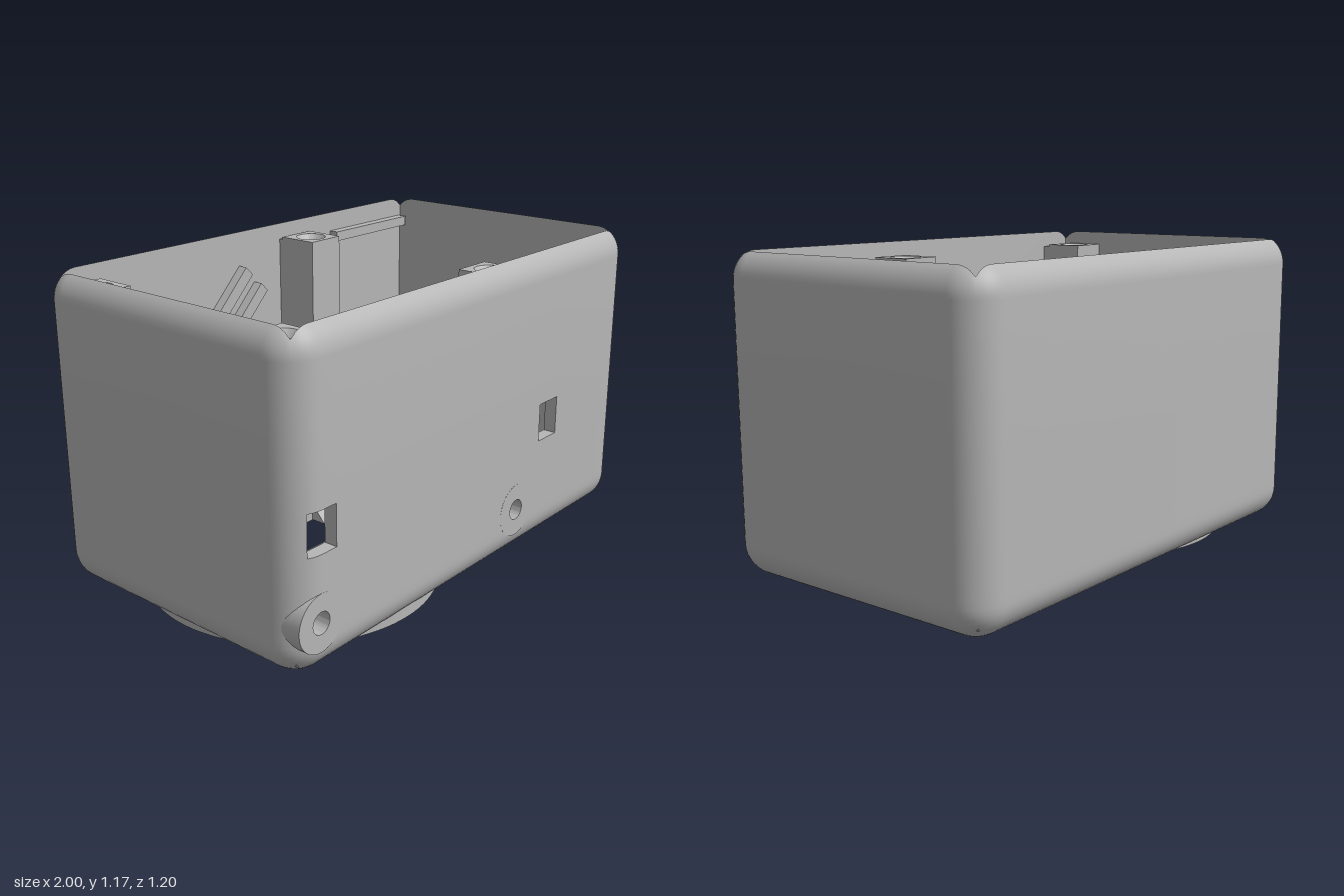
import * as THREE from 'three';
import { toCreasedNormals } from 'three/addons/utils/BufferGeometryUtils.js';

const R = 0.125;                 // outer edge radius
const CX = 0.875, CZ = 0.475;    // core rectangle of the rounded box
const IN = 0.075;                // core to inner wall
const FLOOR = 0.05, SHOULDER = 1.075;
const DISC_X = -0.4, DISC_Z = 0.02, DISC_R = 0.55, DISC_H = 0.22;
const LEVELS = [0.155, 0.245, 0.44, 0.59];

const gray = new THREE.MeshStandardMaterial({ color: 0xb6b6b6, side: THREE.DoubleSide });
gray.name = 'grayPlastic';

function add(parent, name, geometry, x = 0, y = 0, z = 0) {
  const mesh = new THREE.Mesh(geometry, gray);
  mesh.name = name;
  mesh.position.set(x, y, z);
  parent.add(mesh);
  return mesh;
}

function fromTriangles(positions) {
  const g = new THREE.BufferGeometry();
  g.setAttribute('position', new THREE.Float32BufferAttribute(positions, 3));
  return toCreasedNormals(g, 0.5);
}

const quad = (out, a, b, c, d) => out.push(...a, ...b, ...c, ...a, ...c, ...d);

// Rounded walls: outer skin, rim and inner skin as one grid of columns and rows
function wallGeometry() {
  const cols = [];
  [[1, 1], [1, -1], [-1, -1], [-1, 1]].forEach(([sx, sz], corner) => {
    for (let k = 0; k <= 10; k++) {
      cols.push({ x: sx * CX, z: sz * CZ, a: THREE.MathUtils.degToRad(corner * 90 + k * 9) });
    }
  });
  for (const x of [-0.81, 0.18, 0.28, 0.37, 0.49]) cols.push({ x, z: CZ, a: Math.PI * 2 });

  const reach = (c) => IN / Math.max(Math.abs(Math.sin(c.a)), Math.abs(Math.cos(c.a)));
  const rows = [];   // each gives [radius, height] for a column
  for (let k = 0; k <= 10; k++) {
    const t = (k / 10) * Math.PI / 2;
    rows.push(() => [R * Math.sin(t), R - R * Math.cos(t)]);
  }
  for (const y of LEVELS) rows.push(() => [R, y]);
  for (let k = 0; k <= 8; k++) {
    rows.push((c) => {
      const t = Math.PI / 2 + (Math.asin(reach(c) / R) - Math.PI / 2) * k / 8;
      return [R * Math.sin(t), SHOULDER + R * Math.cos(t)];
    });
  }
  const innerStart = rows.length;
  for (const y of [...LEVELS].reverse()) rows.push((c) => [reach(c), y]);
  rows.push((c) => [reach(c), FLOOR]);

  const n = cols.length;
  const point = (i, j) => {
    const c = cols[i % n];
    const [r, y] = rows[j](c);
    return [c.x + r * Math.sin(c.a), y, c.z + r * Math.cos(c.a)];
  };
  // Openings in the front wall: x range and y range
  const openings = [[-0.94, -0.8, 0.44, 0.59], [0.37, 0.49, 0.44, 0.59],
    [-0.94, -0.8, 0.155, 0.245], [0.18, 0.28, 0.155, 0.245]];
  const open = (i, j) => {
    const c = cols[i], d = cols[(i + 1) % n];
    if (c.z < 0 || d.z < 0) return false;
    const x = (c.x + R * Math.sin(c.a) + d.x + R * Math.sin(d.a)) / 2;
    const y = (rows[j](c)[1] + rows[j + 1](c)[1]) / 2;
    return openings.some((o) => x > o[0] && x < o[1] && y > o[2] && y < o[3]);
  };
  const out = [];
  const mirrorRow = (j) => innerStart + 14 - j;   // inner row at the same height
  for (let i = 0; i < n; i++) {
    for (let j = 0; j < rows.length - 1; j++) {
      if (!open(i, j)) {
        quad(out, point(i, j), point(i + 1, j), point(i + 1, j + 1), point(i, j + 1));
      } else if (j < innerStart) {
        // Jambs between the two skins
        const jamb = (i0, j0, i1, j1) => quad(out, point(i0, j0), point(i1, j1),
          point(i1, mirrorRow(j1)), point(i0, mirrorRow(j0)));
        if (!open(i, j - 1)) jamb(i, j, i + 1, j);
        if (!open(i, j + 1)) jamb(i, j + 1, i + 1, j + 1);
        if (!open((i + n - 1) % n, j)) jamb(i, j, i, j + 1);
        if (!open((i + 1) % n, j)) jamb(i + 1, j, i + 1, j + 1);
      }
    }
  }
  return fromTriangles(out);
}

// Outline of the floor opening at height y: a straight window plus a slanted slot
function openingAt(y) {
  const back = -0.155 - 0.195 * y / DISC_H, front = back + 0.225;
  const rear = Math.min(back, -0.22);
  const half = [[0.37, 0.25], [0.37, front], [0.43, front], [0.43, back], [0.37, back], [0.37, rear]];
  return [...half.map(([x, z]) => [DISC_X - x, z]),
    ...half.reverse().map(([x, z]) => [DISC_X + x, z])];
}

const openingPath = (y) => new THREE.Path(openingAt(y).map(([x, z]) => new THREE.Vector2(x, -z)));

function rectangle(w, h) {
  return new THREE.Shape([[-w, -h], [w, -h], [w, h], [-w, h]].map((p) => new THREE.Vector2(...p)));
}

function circle(r, x = 0, y = 0) {
  return new THREE.Shape().absarc(x, y, r, 0, Math.PI * 2, false);
}

// Horizontal flat sheet from a shape drawn in x and -z
function sheet(shape, hole, down = false) {
  if (hole) shape.holes.push(hole);
  const g = new THREE.ShapeGeometry(shape, 48).rotateX(-Math.PI / 2);
  if (down) {
    const index = g.index.array;
    for (let i = 0; i < index.length; i += 3) [index[i], index[i + 1]] = [index[i + 1], index[i]];
    g.computeVertexNormals();
  }
  return g;
}

function openingWalls() {
  const out = [];
  const heights = [0, DISC_H / 3, DISC_H];
  for (let k = 0; k < 2; k++) {
    const lo = openingAt(heights[k]), hi = openingAt(heights[k + 1]);
    lo.forEach((p, i) => {
      const m = (i + 1) % lo.length;
      const at = (q, y) => [q[0], y, q[1]];
      quad(out, at(p, heights[k]), at(hi[i], heights[k + 1]),
        at(hi[m], heights[k + 1]), at(lo[m], heights[k]));
    });
  }
  return fromTriangles(out);
}

function addPost(parent, x, z) {
  const post = new THREE.Group();
  post.name = 'screwPost';
  const shape = rectangle(0.0825, 0.0825);
  shape.holes.push(circle(0.06));
  const block = new THREE.ExtrudeGeometry(shape, { depth: 0.25, bevelEnabled: false, curveSegments: 16 });
  add(post, 'postTop', block.rotateX(-Math.PI / 2), 0, 0.87, 0);
  add(post, 'postBase', new THREE.BoxGeometry(0.165, 0.12, 0.165), 0, 0.81, 0);
  const profile = [[0, 0.9], [0.038, 0.9], [0.038, 1.09], [0.06, 1.12]].map((p) => new THREE.Vector2(...p));
  add(post, 'screwHole', toCreasedNormals(new THREE.LatheGeometry(profile, 28), 0.5));
  // Web joining the post to its wall
  add(post, 'postWeb', new THREE.BoxGeometry(0.165, 0.36, 0.04), 0, 0.93, Math.sign(z) * 0.095);
  post.position.set(x, 0, z);
  parent.add(post);
}

export function createModel() {
  const model = new THREE.Group();
  model.name = 'openEnclosure';

  add(model, 'walls', wallGeometry());
  add(model, 'underside', sheet(rectangle(CX, CZ), openingPath(0), true));
  add(model, 'floor', sheet(rectangle(0.95, 0.55), circle(0.5, DISC_X, -DISC_Z)), 0, FLOOR, 0);

  // Round mount in the floor with its window and slanted slot
  const mount = new THREE.Group();
  mount.name = 'roundMount';
  const disc = () => circle(DISC_R, DISC_X, -DISC_Z);
  add(mount, 'mountTop', sheet(disc(), openingPath(DISC_H)), 0, DISC_H, 0);
  add(mount, 'mountBottom', sheet(disc(), openingPath(0), true));
  add(mount, 'mountRim', new THREE.CylinderGeometry(DISC_R, DISC_R, DISC_H, 96, 1, true), DISC_X, DISC_H / 2, DISC_Z);
  add(mount, 'mountOpening', openingWalls());
  model.add(mount);

  for (const x of [-0.867, 0.233]) {
    addPost(model, x, -0.45);
    addPost(model, x, 0.44);
  }

  // Horizontal screw bosses through the front wall
  for (const x of [-0.885, 0.23]) {
    const ring = circle(0.105);
    ring.holes.push(circle(0.04));
    const boss = new THREE.ExtrudeGeometry(ring, { depth: 0.25, bevelEnabled: false, curveSegments: 24 });
    add(model, 'frontBoss', toCreasedNormals(boss, 0.5), x, 0.2, 0.3505);
    add(model, 'bossEnd', new THREE.CircleGeometry(0.05, 24), x, 0.2, 0.352);
  }

  // Slanted guide rails and lid ledges on both long walls
  for (const side of [-1, 1]) {
    for (const [endX, endY, length] of [[-0.067, 1.02, 1.1], [0.015, 0.94, 1.04]]) {
      const half = length * Math.SQRT1_2 / 2;
      const rail = add(model, 'guideRail', new THREE.BoxGeometry(length, 0.05, 0.045),
        endX - half, endY - half, side * 0.5325);
      rail.rotation.z = Math.PI / 4;
    }
    add(model, 'lidLedge', new THREE.BoxGeometry(0.475, 0.04, 0.045), 0.7025, 1.075, side * 0.5325);
  }
  return model;
}
